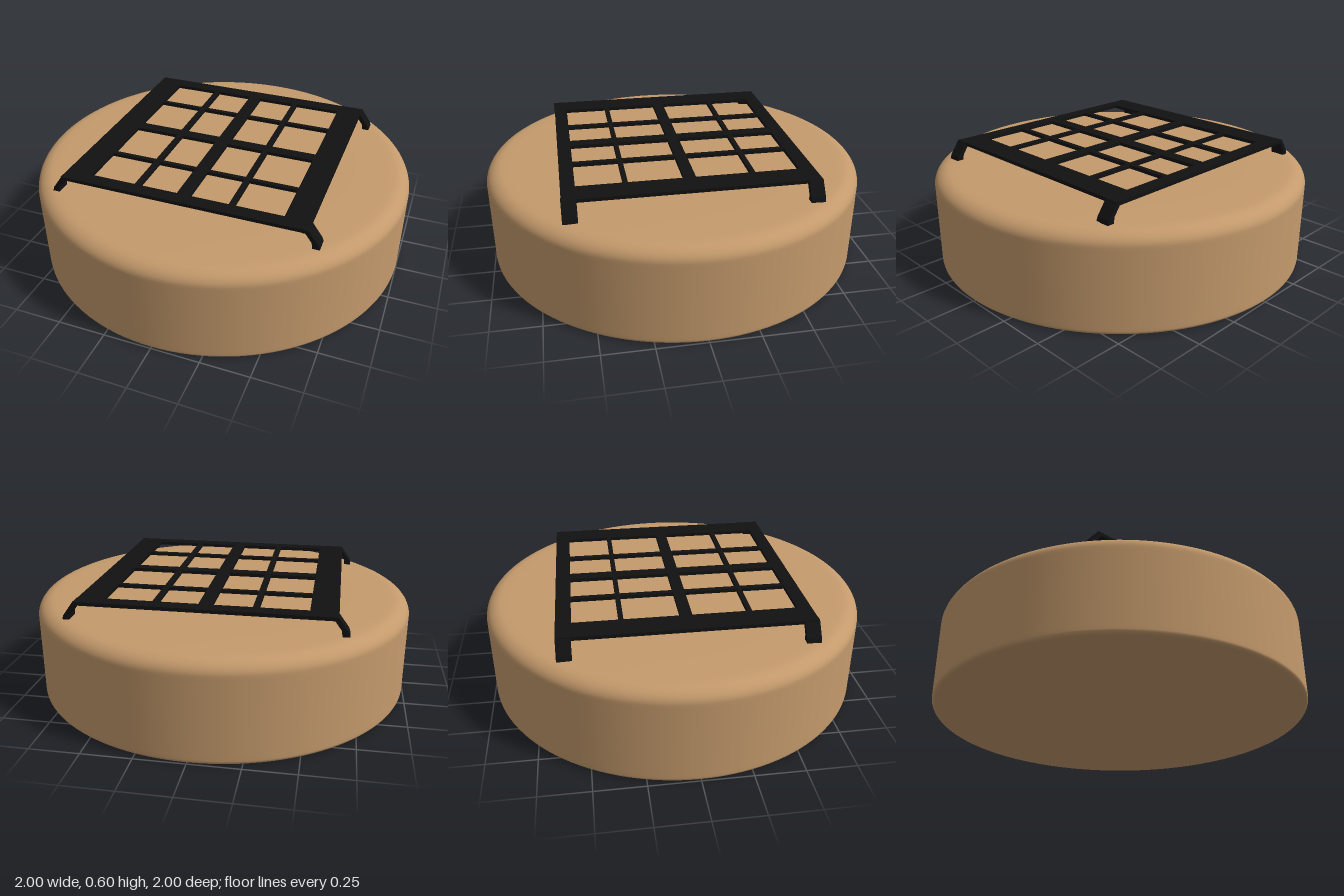
import * as THREE from 'three';

export function createModel() {
  const model = new THREE.Group();
  const tan = new THREE.MeshStandardMaterial({ color: 0xc49a6c });
  tan.name = 'tan';
  const black = new THREE.MeshStandardMaterial({ color: 0x111111 });
  black.name = 'black';

  const add = (name, geometry, material) => {
    const mesh = new THREE.Mesh(geometry, material);
    mesh.name = name;
    model.add(mesh);
    return mesh;
  };

  // Round base with a soft top edge and a tight bottom edge
  const profile = [new THREE.Vector2(0, 0), new THREE.Vector2(0.97, 0)];
  const arc = (cx, cy, rx, ry, from, steps) => {
    for (let i = 0; i <= steps; i++) {
      const a = from + (i / steps) * Math.PI / 2;
      profile.push(new THREE.Vector2(cx + rx * Math.cos(a), cy + ry * Math.sin(a)));
    }
  };
  arc(0.98, 0.02, 0.02, 0.02, -Math.PI / 2, 5);
  profile.push(new THREE.Vector2(1, 0.04), new THREE.Vector2(1, 0.42));
  arc(0.91, 0.435, 0.09, 0.07, 0, 10);
  profile.push(new THREE.Vector2(0.88, 0.507), new THREE.Vector2(0.7, 0.51), new THREE.Vector2(0, 0.51));
  add('base', new THREE.LatheGeometry(profile, 128), tan);

  // Raised lattice: a square plate with sixteen openings
  const rect = (path, x0, x1, y0, y1) =>
    path.moveTo(x0, y0).lineTo(x1, y0).lineTo(x1, y1).lineTo(x0, y1).closePath();
  const plate = rect(new THREE.Shape(), -0.635, 0.63, -0.62, 0.625);
  const columns = [[-0.5, -0.262], [-0.232, -0.037], [0.03, 0.228], [0.256, 0.5]];
  const rows = [[-0.55, -0.324], [-0.3, -0.03], [0.03, 0.302], [0.326, 0.55]];
  for (const [x0, x1] of columns)
    for (const [y0, y1] of rows) plate.holes.push(rect(new THREE.Path(), x0, x1, y0, y1));
  const lattice = new THREE.ExtrudeGeometry(plate, { depth: 0.018, bevelEnabled: false });
  lattice.rotateX(-Math.PI / 2).translate(0, 0.58, 0);
  add('lattice', lattice, black);

  // Four splayed legs with small feet
  const outline = [
    [0.605, 0.58], [0.618, 0.58], [0.65, 0.535], [0.654, 0.505],
    [0.69, 0.505], [0.683, 0.527], [0.672, 0.542], [0.632, 0.598], [0.605, 0.598],
  ];
  for (const side of [-1, 1]) {
    const points = outline.map(([x, y]) => new THREE.Vector2(side * x, y));
    for (const [end, z] of [['Front', 0.55], ['Back', -0.625]]) {
      const leg = new THREE.ExtrudeGeometry(new THREE.Shape(points), { depth: 0.072, bevelEnabled: false });
      add((side > 0 ? 'left' : 'right') + end + 'Leg', leg, black).position.z = z;
    }
  }
  return model;
}
